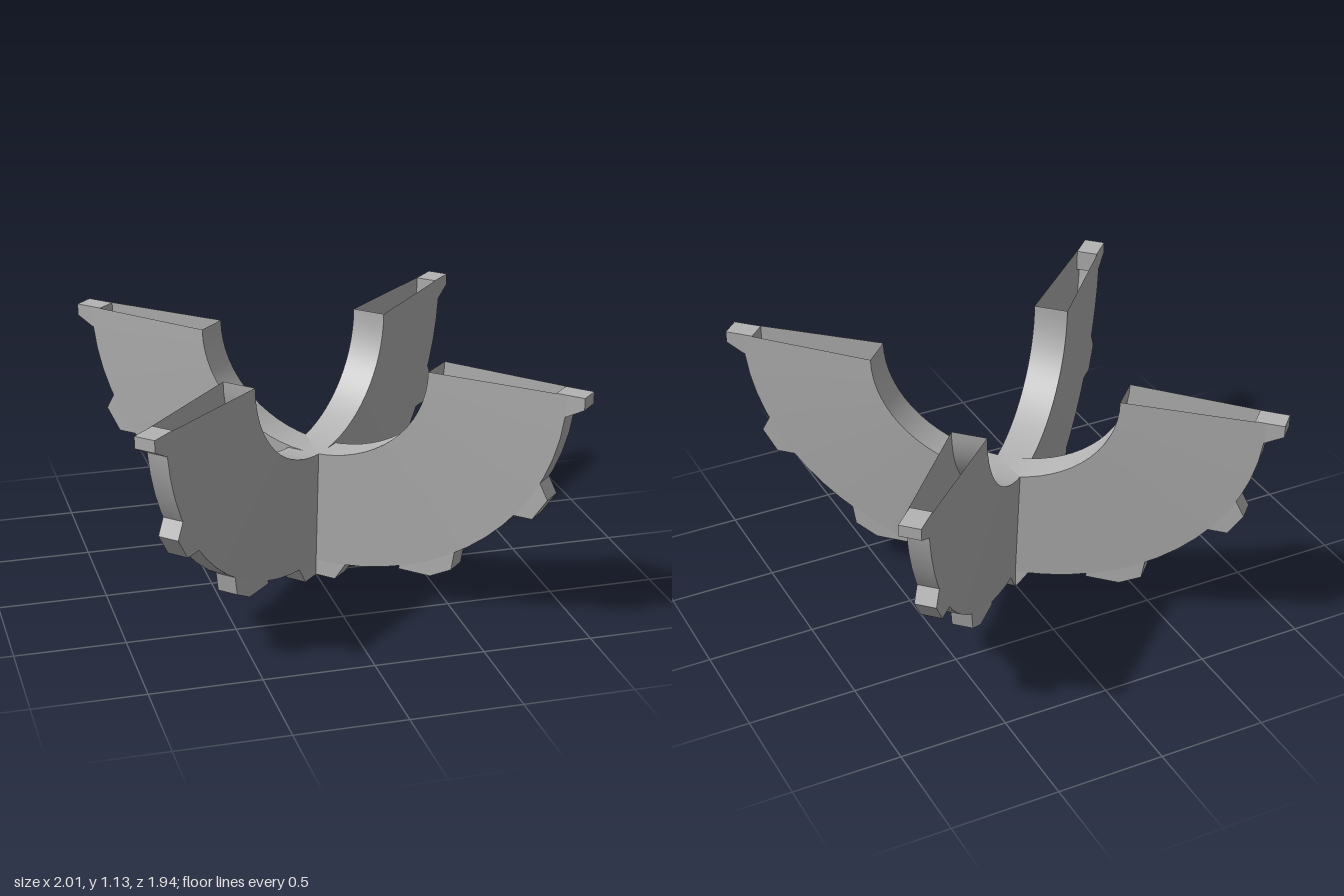
import * as THREE from 'three';
import { toCreasedNormals } from 'three/addons/utils/BufferGeometryUtils.js';

const TOP = 1.13;                       // height of the open rim
const OUTER = { a: 1.24, b: 1.055, t: 0.1 };   // half axes and thickness
const INNER = { a: 0.59, b: 0.5, t: 0.163 };
const SEGMENTS = 32;

// Hollow half ring, thick at the inside and thin at the outside, open at the rim
function bladeGeometry() {
  const pos = [];
  const section = (i) => {
    const ang = (i / SEGMENTS) * Math.PI;
    const point = (e, side) => [-e.a * Math.cos(ang), TOP - e.b * Math.sin(ang), side * e.t / 2];
    return [point(INNER, 1), point(INNER, -1), point(OUTER, -1), point(OUTER, 1)];
  };
  for (let i = 0; i < SEGMENTS; i++) {
    const p = section(i), q = section(i + 1);
    for (let k = 0; k < 4; k++) {
      const n = (k + 1) % 4;
      pos.push(...p[k], ...q[n], ...p[n], ...p[k], ...q[k], ...q[n]);
    }
  }
  const geo = new THREE.BufferGeometry();
  geo.setAttribute('position', new THREE.Float32BufferAttribute(pos, 3));
  return toCreasedNormals(geo, 0.5);
}

// Flat-sided block cut from an outline in the blade's plane
function plate(points, thickness) {
  const shape = new THREE.Shape(points.map(([x, y]) => new THREE.Vector2(x, y)));
  const geo = new THREE.ExtrudeGeometry(shape, { depth: thickness, bevelEnabled: false });
  return geo.translate(0, 0, -thickness / 2);
}

// Outlines on the right-hand half of a blade, mirrored for the other half
const SIDE_PARTS = {
  rimLip: [[1.19, 1.13], [1.19, 1.03], [1.24, 1.03], [1.323, 1.075], [1.323, 1.13]],
  upperTooth: [[1.11, 0.7], [1.0, 0.53], [1.01, 0.52], [1.1, 0.52], [1.17, 0.625], [1.13, 0.7]],
  lowerTooth: [[0.7, 0.28], [0.45, 0.16], [0.44, 0.13], [0.604, 0.13], [0.71, 0.185], [0.725, 0.275]],
};
const FOOT = [[-0.16, 0.085], [-0.105, 0], [0.105, 0], [0.16, 0.085]];

export function createModel() {
  const model = new THREE.Group();
  model.name = 'crossedBlades';
  const grey = new THREE.MeshStandardMaterial({ color: 0xb4b4b4, side: THREE.DoubleSide });
  grey.name = 'grey';

  const add = (parent, name, geo) => {
    const mesh = new THREE.Mesh(geo, grey);
    mesh.name = name;
    parent.add(mesh);
  };

  // Two identical blades crossing at right angles, slightly forward of the crossing line
  for (const side of [1, -1]) {
    const blade = new THREE.Group();
    blade.name = side > 0 ? 'leftFrontBlade' : 'rightFrontBlade';
    add(blade, 'hollowHalfRing', bladeGeometry());
    add(blade, 'foot', plate(FOOT, OUTER.t));
    for (const [name, outline] of Object.entries(SIDE_PARTS)) {
      add(blade, name + 'Front', plate(outline, OUTER.t));
      add(blade, name + 'Back', plate(outline.map(([x, y]) => [-x, y]), OUTER.t));
    }
    blade.rotation.y = side > 0 ? -Math.PI / 4 : -3 * Math.PI / 4;
    blade.position.set(side * 0.033, 0, -0.007);
    model.add(blade);
  }
  return model;
}
